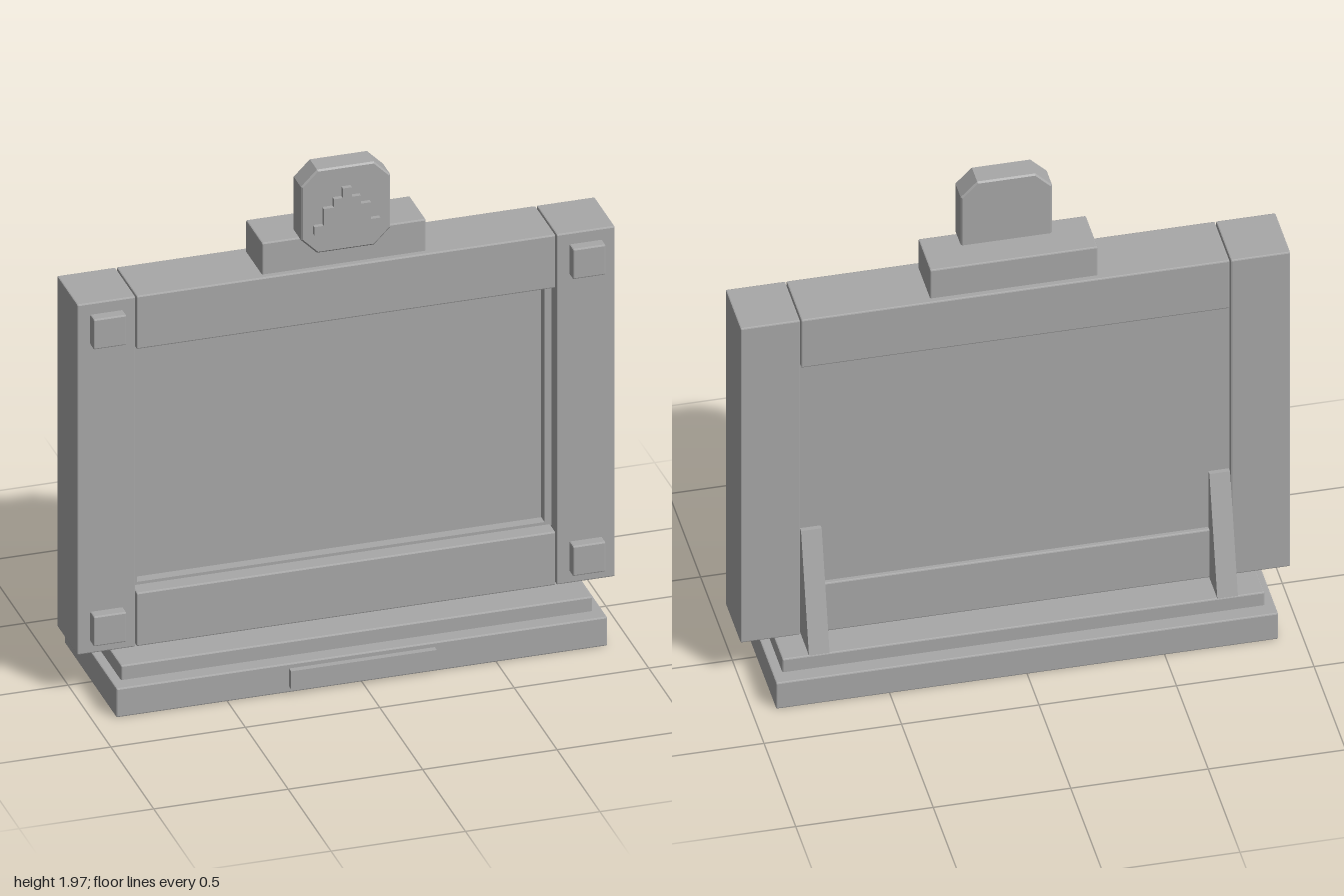
import * as THREE from 'three';
import { RoundedBoxGeometry } from 'three/addons/geometries/RoundedBoxGeometry.js';

export function createModel() {
  const model = new THREE.Group();
  const grey = new THREE.MeshStandardMaterial({ color: 0xa8a8a8 });
  grey.name = 'stone grey';

  const add = (name, geometry) => {
    const mesh = new THREE.Mesh(geometry, grey);
    mesh.name = name;
    model.add(mesh);
    return mesh;
  };

  // Box between two corners, with a fine flat chamfer when bevel > 0
  const block = (name, x0, x1, y0, y1, z0, z1, bevel = 0.005) => {
    const size = [x1 - x0, y1 - y0, z1 - z0];
    const geo = bevel ? new RoundedBoxGeometry(...size, 1, bevel) : new THREE.BoxGeometry(...size);
    if (bevel) geo.computeVertexNormals();
    add(name, geo).position.set((x0 + x1) / 2, (y0 + y1) / 2, (z0 + z1) / 2);
  };

  // Extrude an outline in the xy plane from z0 to z1
  const plate = (name, points, z0, z1, hole, bevel = 0) => {
    const toVectors = (list) => list.map(([x, y]) => new THREE.Vector2(x, y));
    const shape = new THREE.Shape(toVectors(points));
    if (hole) shape.holes.push(new THREE.Path(toVectors(hole)));
    const geo = new THREE.ExtrudeGeometry(shape, {
      depth: z1 - z0 - 2 * bevel, bevelEnabled: bevel > 0,
      bevelSize: bevel, bevelThickness: bevel, bevelOffset: -bevel, bevelSegments: 1,
    });
    geo.translate(0, 0, z0 + bevel);
    return add(name, geo);
  };
  const rect = (x, y0, y1) => [[-x, y0], [x, y0], [x, y1], [-x, y1]];

  // Stepped base
  block('base', -0.913, 0.913, 0, 0.115, -0.315, 0.292);
  block('baseStep', -0.877, 0.877, 0.11, 0.172, -0.257, 0.232);
  block('basePlaque', -0.271, 0.271, 0.024, 0.096, 0.285, 0.316, 0);

  // Frame beams
  block('topBeam', -0.779, 0.779, 1.358, 1.57, -0.13, 0.108);
  block('bottomBeam', -0.779, 0.779, 0.172, 0.385, -0.13, 0.108);

  // Recessed panel and its inner lip
  block('panel', -0.79, 0.79, 0.38, 1.363, -0.112, 0.005, 0);
  plate('panelLip', rect(0.788, 0.38, 1.363), 0, 0.045, rect(0.758, 0.396, 1.347));

  for (const side of [-1, 1]) {
    const label = side > 0 ? 'left' : 'right';
    const span = (a, b) => (side > 0 ? [a, b] : [-b, -a]);

    // Side posts with square corner studs
    block(label + 'Post', ...span(0.783, 1), 0.172, 1.57, -0.13, 0.108);
    block(label + 'LowerStud', ...span(0.83, 0.952), 0.219, 0.338, 0.1, 0.15);
    block(label + 'UpperStud', ...span(0.83, 0.952), 1.404, 1.524, 0.1, 0.15);

    // Triangular rear braces, outlined in side profile
    const brace = plate(label + 'Brace', [[0.11, 0.17], [0.255, 0.17], [0.13, 0.633], [0.11, 0.633]], 0, 0.075);
    brace.rotation.y = Math.PI / 2;
    brace.position.x = side > 0 ? 0.705 : -0.78;
  }

  // Crest: pedestal, chamfered tablet and stepped relief
  block('crestPedestal', -0.305, 0.305, 1.565, 1.695, -0.107, 0.083);
  const w = 0.166, c = 0.06, low = 1.634, high = 1.966;
  plate('crestTablet', [
    [-w + c, low], [w - c, low], [w, low + c], [w, high - c],
    [w - c, high], [-w + c, high], [-w, high - c], [-w, low + c],
  ], 0.01, 0.105, null, 0.006);

  const half = [[0.123, 1.717], [0.123, 1.75], [0.088, 1.75], [0.088, 1.817],
    [0.05, 1.817], [0.05, 1.85], [0.017, 1.85], [0.017, 1.888]];
  const mirrored = half.map(([x, y]) => [-x, y]).reverse();
  plate('crestRelief', [...half, ...mirrored], 0.1, 0.123);

  return model;
}
